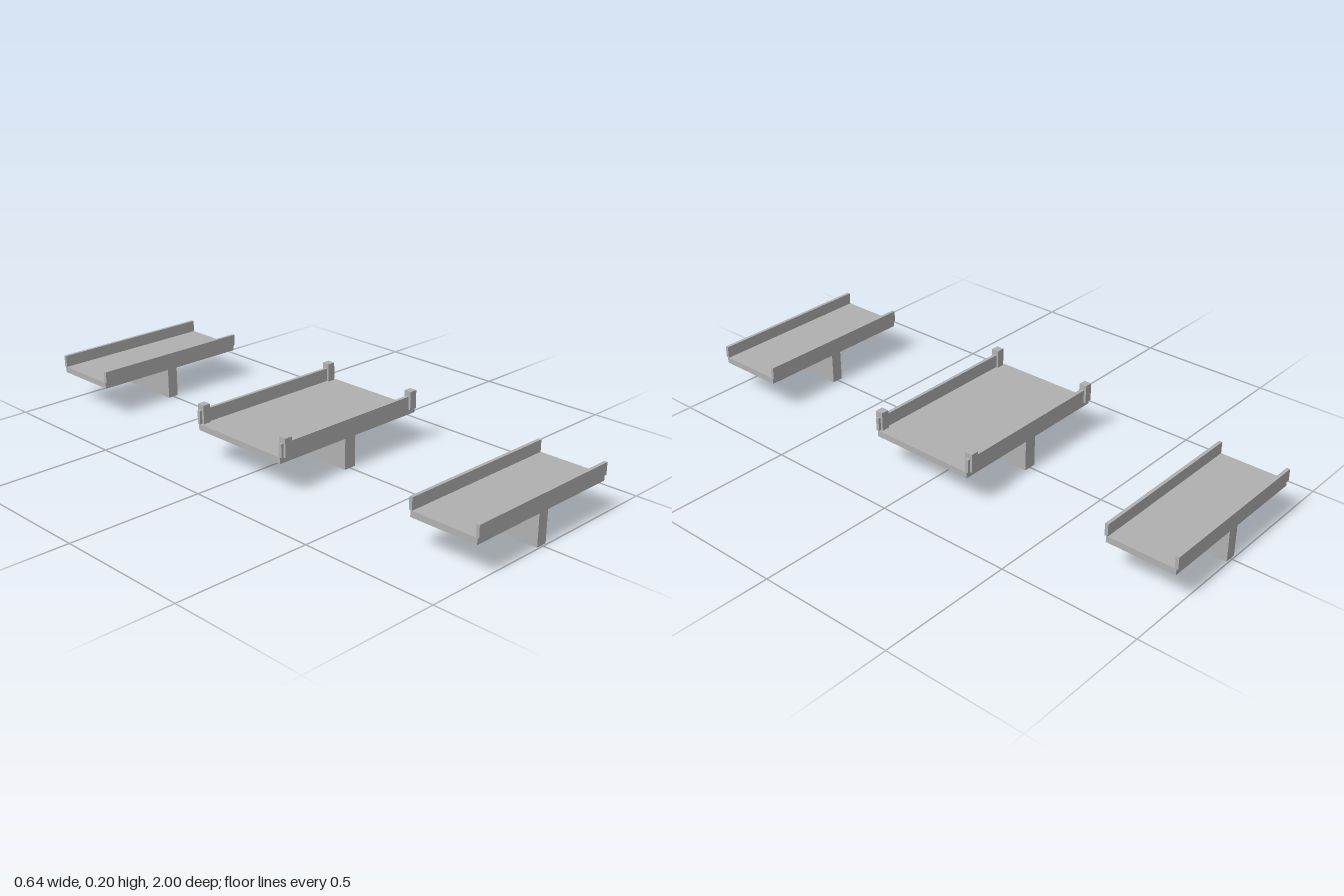
import * as THREE from 'three';

const concrete = new THREE.MeshStandardMaterial({ color: 0xb0b0b0 });
concrete.name = 'concrete grey';

const DECK_BOTTOM = 0.113;
const DECK_TOP = 0.135;

// Box given by its centre in x and z, its bottom and its top
function block(name, width, bottom, top, depth, x = 0, z = 0) {
  const mesh = new THREE.Mesh(new THREE.BoxGeometry(width, top - bottom, depth), concrete);
  mesh.name = name;
  mesh.position.set(x, (bottom + top) / 2, z);
  return mesh;
}

// Deck slab on a wall pier, with a parapet centred on each long edge
function span({ name, length, depth, pierWidth, parapetTop, z }) {
  const group = new THREE.Group();
  group.name = name;
  group.position.z = z;
  group.add(block('pier', pierWidth, 0, DECK_BOTTOM, depth));
  group.add(block('deck', length, DECK_BOTTOM, DECK_TOP, depth));
  for (const side of [-1, 1]) {
    group.add(block('parapet', length, DECK_TOP, parapetTop, 0.012, 0, side * depth / 2));
  }
  return group;
}

export function createModel() {
  const model = new THREE.Group();
  model.name = 'bridgeSpans';

  // Two narrow outer spans
  for (const side of [1, -1]) {
    model.add(span({
      name: side > 0 ? 'frontSpan' : 'backSpan',
      length: 0.622, depth: 0.25, pierWidth: 0.042, parapetTop: 0.178, z: side * 0.869,
    }));
  }

  // Wide middle span with a post near each corner
  const middle = span({
    name: 'middleSpan', length: 0.644, depth: 0.4, pierWidth: 0.048, parapetTop: 0.183, z: 0,
  });
  for (const x of [-0.298, 0.298]) {
    for (const z of [-0.2, 0.2]) {
      middle.add(block('cornerPost', 0.029, DECK_TOP, 0.202, 0.029, x, z));
    }
  }
  model.add(middle);
  return model;
}
